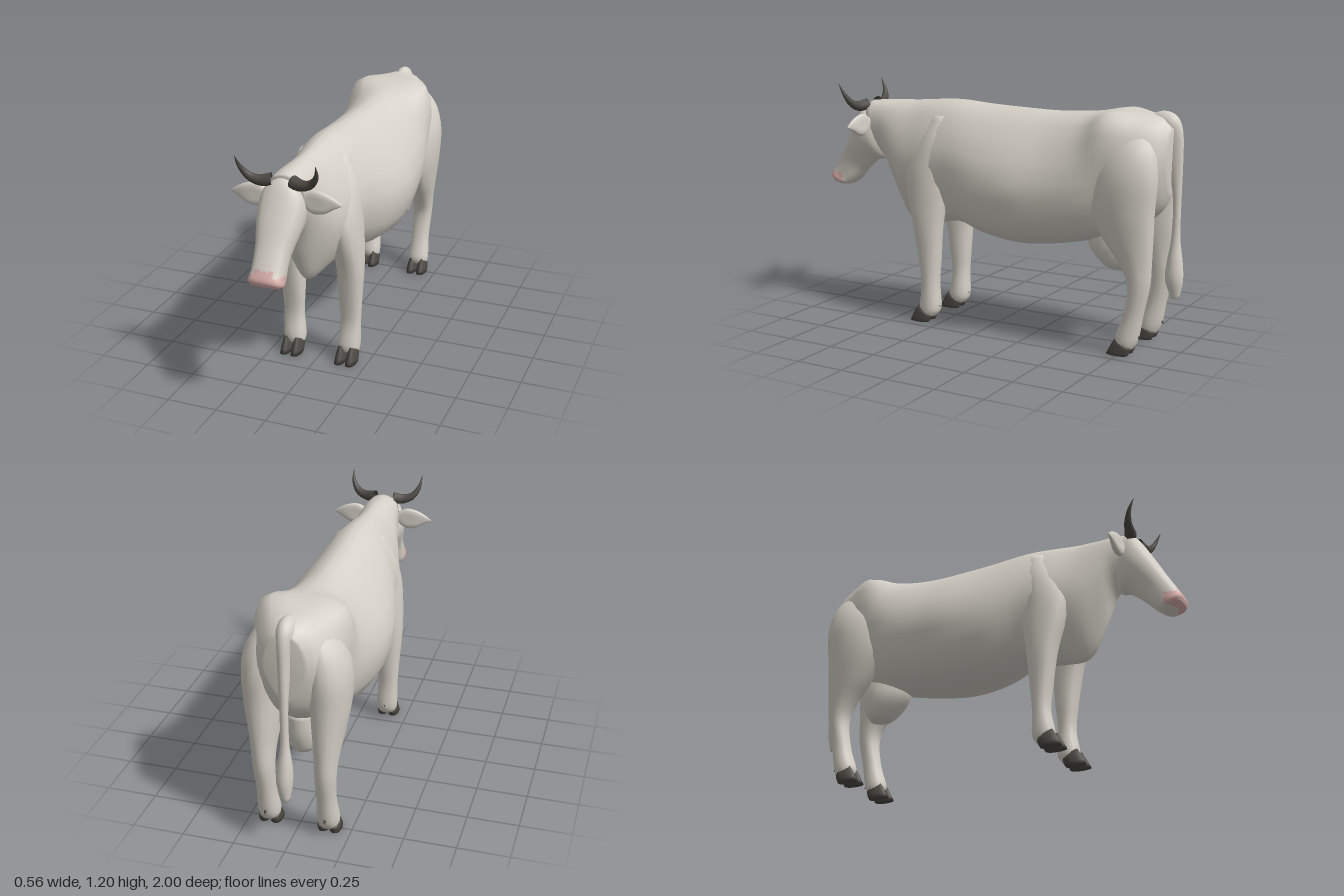
import * as THREE from 'three';

const V = (x, y, z) => new THREE.Vector3(x, y, z);
const mat = (name, color) => {
  const m = new THREE.MeshStandardMaterial({ color, side: THREE.DoubleSide });
  m.name = name;
  return m;
};

// One cross-section: from edge point F to edge point B (z, y), with half widths
// near F (at fraction t1), in the middle and near B, centred on x = cx.
function ring([fz, fy, bz, by, w1, w2, w3, cx = 0, t1 = 0.11], n) {
  const at = (t, w) => V(cx + w, fy + (by - fy) * t, fz + (bz - fz) * t);
  const pts = [at(0, 0), at(t1, w1), at(0.5, w2), at(0.88, w3),
    at(1, 0), at(0.88, -w3), at(0.5, -w2), at(t1, -w1)];
  const curve = new THREE.CatmullRomCurve3(pts, true, 'centripetal');
  return Array.from({ length: n }, (_, k) => curve.getPoint(k / n));
}

// Closed smooth skin through cross-sections; isSecond sends faces to a second material.
function loft(sections, { n = 24, sub = 4, isSecond = null } = {}) {
  const rings = sections.map((s) => ring(s, n));
  const rows = (rings.length - 1) * sub;
  const columns = rings[0].map((_, k) =>
    new THREE.CatmullRomCurve3(rings.map((r) => r[k]), false, 'catmullrom', 0.5));
  const pts = [];
  for (let i = 0; i <= rows; i++) for (const c of columns) pts.push(c.getPoint(i / rows));
  for (const start of [0, rows * n]) {
    const mid = V(0, 0, 0);
    for (let k = 0; k < n; k++) mid.addScaledVector(pts[start + k], 1 / n);
    pts.push(mid);
  }
  const capA = pts.length - 2, capB = pts.length - 1;
  let faces = [];
  for (let k = 0; k < n; k++) {
    const j = (k + 1) % n;
    for (let i = 0; i < rows; i++) {
      const a = i * n + k, b = i * n + j;
      faces.push([a, b, b + n], [a, b + n, a + n]);
    }
    faces.push([capA, j, k], [capB, rows * n + k, rows * n + j]);
  }
  // Turn the faces outward
  let volume = 0;
  for (const [a, b, c] of faces) volume += pts[a].dot(pts[b].clone().cross(pts[c]));
  if (volume < 0) faces = faces.map(([a, b, c]) => [a, c, b]);
  const geo = new THREE.BufferGeometry().setFromPoints(pts);
  if (isSecond) {
    const test = ([a, b, c]) => isSecond(pts[a].clone().add(pts[b]).add(pts[c]).divideScalar(3));
    const first = faces.filter((f) => !test(f)), second = faces.filter(test);
    faces = [...first, ...second];
    geo.addGroup(0, first.length * 3, 0);
    geo.addGroup(first.length * 3, second.length * 3, 1);
  }
  geo.setIndex(faces.flat());
  geo.computeVertexNormals();
  return geo;
}

// Tube that narrows to a point
function horn(points, radius) {
  const path = new THREE.CatmullRomCurve3(points);
  const segs = 16, sides = 10;
  const geo = new THREE.TubeGeometry(path, segs, radius, sides, false);
  const p = geo.attributes.position, v = V(0, 0, 0);
  for (let i = 0; i < p.count; i++) {
    const t = Math.floor(i / (sides + 1)) / segs;
    v.fromBufferAttribute(p, i).lerp(path.getPointAt(t), Math.pow(t, 1.2) * 0.97);
    p.setXYZ(i, v.x, v.y, v.z);
  }
  geo.computeVertexNormals();
  return geo;
}

function mirrorX(geo) {
  const g = geo.clone().scale(-1, 1, 1);
  const ix = g.index.array;
  for (let i = 0; i < ix.length; i += 3) [ix[i + 1], ix[i + 2]] = [ix[i + 2], ix[i + 1]];
  g.computeVertexNormals();
  return g;
}

export function createModel() {
  const cow = new THREE.Group();
  cow.name = 'cow';
  const hide = mat('hide', 0xd6d1c8), pink = mat('muzzlePink', 0xd9b0ac), dark = mat('horn', 0x4d4944);
  const add = (name, geo, material) => {
    const m = new THREE.Mesh(geo, material);
    m.name = name;
    cow.add(m);
  };
  const pair = (name, geo, material) => {
    add('left' + name, geo, material);
    add('right' + name, mirrorX(geo), material);
  };

  // Trunk and neck, rump to poll; the hips are flat and wide on top
  add('body', loft([
    [-0.945, 1.08, -0.93, 0.76, 0.06, 0.09, 0.04],
    [-0.89, 1.125, -0.89, 0.68, 0.10, 0.155, 0.08],
    [-0.79, 1.135, -0.80, 0.60, 0.145, 0.20, 0.12, 0, 0.07],
    [-0.66, 1.14, -0.66, 0.53, 0.195, 0.22, 0.15, 0, 0.045],
    [-0.53, 1.125, -0.52, 0.495, 0.15, 0.25, 0.18, 0, 0.09],
    [-0.35, 1.115, -0.35, 0.462, 0.13, 0.268, 0.205],
    [-0.17, 1.118, -0.17, 0.445, 0.125, 0.28, 0.21],
    [0.02, 1.125, 0.02, 0.465, 0.12, 0.255, 0.19],
    [0.20, 1.137, 0.20, 0.51, 0.112, 0.21, 0.14],
    [0.34, 1.13, 0.36, 0.485, 0.10, 0.188, 0.10],
    [0.46, 1.12, 0.50, 0.485, 0.085, 0.16, 0.065],
    [0.57, 1.115, 0.59, 0.63, 0.08, 0.125, 0.055],
    [0.66, 1.11, 0.64, 0.77, 0.075, 0.10, 0.055],
    [0.76, 1.10, 0.68, 0.82, 0.07, 0.09, 0.05],
  ]), hide);

  // Head, forehead to nose, with pink faces on the front of the muzzle
  add('head', loft([
    [0.75, 1.10, 0.65, 0.86, 0.05, 0.085, 0.05],
    [0.795, 1.06, 0.68, 0.80, 0.085, 0.105, 0.06],
    [0.86, 0.95, 0.73, 0.785, 0.082, 0.10, 0.055],
    [0.92, 0.84, 0.80, 0.725, 0.065, 0.08, 0.05],
    [0.975, 0.745, 0.86, 0.665, 0.062, 0.077, 0.06],
    [0.998, 0.70, 0.90, 0.643, 0.068, 0.082, 0.065],
    [0.99, 0.67, 0.935, 0.645, 0.055, 0.065, 0.05],
  ], { sub: 6, isSecond: (c) => c.z > 0.915 && c.y > 0.652 && c.y < (Math.abs(c.x) < 0.045 ? 0.74 : 0.715) }),
  [hide, pink]);

  // Ears: leaf shapes built upright, then laid out sideways
  const ear = loft([
    [0.025, 0, -0.03, 0, 0.012, 0.018, 0.012],
    [0.05, 0.05, -0.06, 0.05, 0.015, 0.016, 0.018],
    [0.045, 0.10, -0.055, 0.10, 0.014, 0.016, 0.016],
    [0.025, 0.145, -0.028, 0.145, 0.009, 0.011, 0.009],
    [-0.003, 0.185, -0.007, 0.185, 0.002, 0.002, 0.002],
  ], { n: 16 });
  ear.applyMatrix4(new THREE.Matrix4().makeBasis(V(0, 0, 1), V(1, 0, 0), V(0, 1, 0)));
  pair('Ear', ear.translate(0.083, 0.993, 0.727), hide);

  // Horns
  pair('Horn', horn([V(0.05, 1.083, 0.76), V(0.10, 1.077, 0.775), V(0.148, 1.095, 0.785),
    V(0.18, 1.14, 0.805), V(0.19, 1.198, 0.835)], 0.031), dark);

  // Front legs, hoof to shoulder
  pair('FrontLeg', loft([
    [0.365, 0.05, 0.285, 0.03, 0.035, 0.05, 0.035, 0.145],
    [0.37, 0.09, 0.262, 0.075, 0.04, 0.056, 0.04, 0.145],
    [0.352, 0.20, 0.265, 0.20, 0.038, 0.052, 0.035, 0.15],
    [0.365, 0.33, 0.255, 0.33, 0.045, 0.057, 0.04, 0.15],
    [0.395, 0.50, 0.24, 0.50, 0.05, 0.064, 0.045, 0.153],
    [0.44, 0.66, 0.215, 0.66, 0.05, 0.07, 0.05, 0.143],
    [0.46, 0.80, 0.19, 0.80, 0.05, 0.085, 0.05, 0.12],
    [0.40, 0.94, 0.19, 0.94, 0.04, 0.072, 0.045, 0.104],
    [0.32, 1.06, 0.22, 1.06, 0.03, 0.045, 0.03, 0.075],
  ], { n: 16 }), hide);

  // Hind legs, hoof to hip
  pair('HindLeg', loft([
    [-0.735, 0.05, -0.815, 0.03, 0.035, 0.05, 0.035, 0.145],
    [-0.73, 0.09, -0.84, 0.08, 0.04, 0.055, 0.035, 0.145],
    [-0.765, 0.20, -0.862, 0.20, 0.035, 0.047, 0.03, 0.145],
    [-0.785, 0.34, -0.892, 0.34, 0.04, 0.052, 0.03, 0.147],
    [-0.74, 0.44, -0.90, 0.45, 0.04, 0.06, 0.035, 0.15],
    [-0.65, 0.56, -0.905, 0.56, 0.05, 0.075, 0.05, 0.152],
    [-0.57, 0.70, -0.91, 0.70, 0.05, 0.092, 0.065, 0.155],
    [-0.565, 0.85, -0.92, 0.85, 0.045, 0.098, 0.07, 0.152],
    [-0.61, 0.97, -0.90, 0.97, 0.035, 0.082, 0.06, 0.135],
    [-0.67, 1.07, -0.85, 1.07, 0.025, 0.05, 0.03, 0.10],
  ], { n: 16 }), hide);

  // Cloven hooves, with a dewclaw behind each foot
  for (const [name, z] of [['Front', 0.345], ['Hind', -0.765]]) {
    for (const [toe, x] of [['Inner', 0.117], ['Outer', 0.174]]) {
      pair(name + toe + 'Hoof', loft([
        [z + 0.075, 0, z - 0.035, 0, 0.018, 0.027, 0.02, x],
        [z + 0.052, 0.045, z - 0.045, 0.02, 0.015, 0.026, 0.02, x],
        [z + 0.028, 0.085, z - 0.05, 0.04, 0.01, 0.022, 0.018, x],
      ], { n: 16, sub: 2 }), dark);
    }
    const claw = new THREE.ConeGeometry(0.012, 0.028, 6);
    claw.rotateX(-2.3).translate(0.145, 0.088, z - 0.078);
    pair(name + 'Dewclaw', claw, dark);
  }

  // Udder, bottom to belly
  add('udder', loft([
    [-0.61, 0.377, -0.73, 0.375, 0.03, 0.05, 0.03],
    [-0.565, 0.415, -0.755, 0.41, 0.05, 0.082, 0.055],
    [-0.51, 0.49, -0.78, 0.49, 0.06, 0.10, 0.065],
    [-0.49, 0.60, -0.79, 0.60, 0.05, 0.085, 0.06],
  ]), hide);

  // Tail with tuft, root to tip
  add('tail', loft([
    [-0.80, 1.12, -0.84, 1.09, 0.02, 0.035, 0.02],
    [-0.88, 1.148, -0.90, 1.07, 0.022, 0.04, 0.03],
    [-0.945, 1.125, -0.91, 1.05, 0.022, 0.038, 0.03],
    [-0.976, 1.05, -0.90, 1.03, 0.02, 0.032, 0.03],
    [-0.98, 0.90, -0.91, 0.90, 0.016, 0.026, 0.02],
    [-0.977, 0.74, -0.938, 0.74, 0.013, 0.02, 0.014],
    [-0.977, 0.56, -0.935, 0.56, 0.013, 0.02, 0.014],
    [-0.993, 0.44, -0.918, 0.44, 0.022, 0.036, 0.024, 0.003],
    [-0.998, 0.35, -0.912, 0.35, 0.024, 0.038, 0.024, 0.005],
    [-0.98, 0.26, -0.94, 0.265, 0.012, 0.02, 0.012, 0],
  ], { n: 16 }), hide);

  return cow;
}
